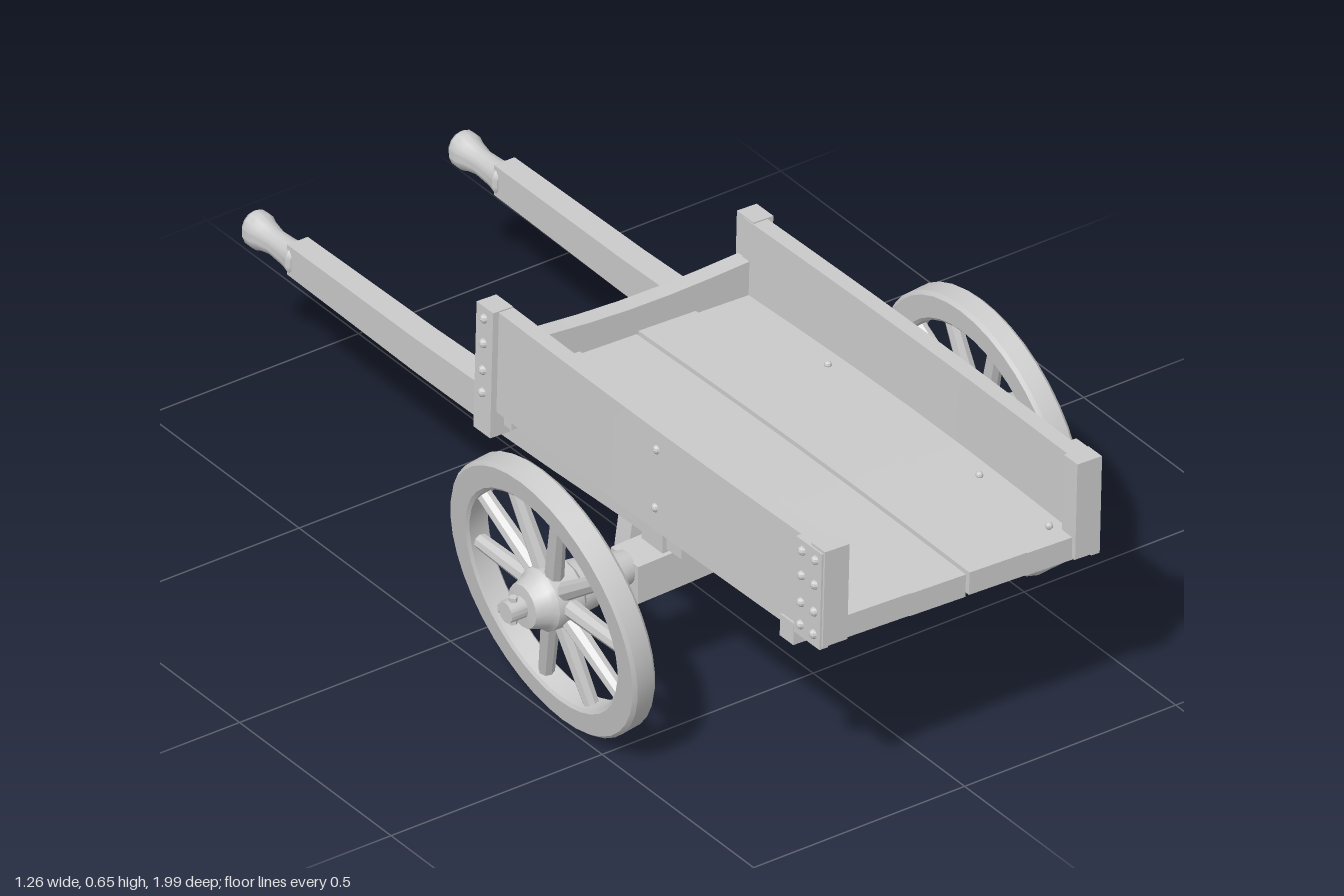
import * as THREE from 'three';
import { toCreasedNormals } from 'three/addons/utils/BufferGeometryUtils.js';

const material = new THREE.MeshStandardMaterial({ color: 0xcccccc });

function add(parent, name, geometry, x = 0, y = 0, z = 0) {
  const mesh = new THREE.Mesh(toCreasedNormals(geometry, 0.6), material);
  mesh.name = name;
  mesh.position.set(x, y, z);
  parent.add(mesh);
  return mesh;
}

// Box given by its limits, optionally bent by a rule on each vertex
function box(parent, name, [x0, x1], [y0, y1], [z0, z1], rule) {
  const seg = rule ? 6 : 1;
  const g = new THREE.BoxGeometry(x1 - x0, y1 - y0, z1 - z0, seg, seg, seg);
  g.translate((x0 + x1) / 2, (y0 + y1) / 2, (z0 + z1) / 2);
  if (rule) {
    const p = g.attributes.position, v = new THREE.Vector3();
    for (let i = 0; i < p.count; i++) {
      rule(v.fromBufferAttribute(p, i));
      p.setXYZ(i, v.x, v.y, v.z);
    }
  }
  return add(parent, name, g);
}

// Turned part: profile of [radius, height], running along y
function turned(profile, sides) {
  return new THREE.LatheGeometry(profile.map(([r, h]) => new THREE.Vector2(r, h)), sides);
}

function rivet(parent, x, y, z, r = 0.01) {
  add(parent, 'rivet', new THREE.SphereGeometry(r, 8, 6), x, y, z);
}

// Spoked wheel and hub; side is +1 or -1
function wheel(side, x, lean) {
  const group = new THREE.Group();
  group.name = 'wheel';
  group.position.set(x, 0.302, 0.365);

  const disc = new THREE.Group();
  disc.name = 'spokedRim';
  disc.rotation.z = lean;
  group.add(disc);
  const rim = turned([[0.238, -0.022], [0.245, -0.027], [0.293, -0.027], [0.3, -0.02],
    [0.3, 0.02], [0.293, 0.027], [0.245, 0.027], [0.238, 0.022], [0.238, -0.022]], 40);
  rim.rotateZ(Math.PI / 2);
  add(disc, 'rim', rim);
  for (let i = 0; i < 10; i++) {
    const spoke = new THREE.CylinderGeometry(0.016, 0.02, 0.21, 8);
    spoke.translate(0, 0.14, 0);
    spoke.rotateX((i + 0.5) * Math.PI / 5);
    add(disc, 'spoke', spoke);
  }

  // Hub runs from the axle arm out to the pin
  const tip = 0.632 - Math.abs(x), inner = 0.345 - Math.abs(x);
  const hub = turned([[0, inner], [0.034, inner], [0.042, inner + 0.05], [0.036, inner + 0.06],
    [0.036, -0.085], [0.052, -0.08], [0.056, -0.04], [0.066, -0.03], [0.066, 0.03], [0.056, 0.04],
    [0.046, tip - 0.04], [0.022, tip - 0.038], [0.022, tip], [0, tip]], 16);
  hub.rotateZ(-side * Math.PI / 2);
  add(group, 'hub', hub);
  add(group, 'linchpin', new THREE.CylinderGeometry(0.009, 0.009, 0.06, 6), side * (tip - 0.018), 0, 0);
  return group;
}

// Open-fronted cargo box
function cargoBox() {
  const tilt = new THREE.Group();
  tilt.name = 'cargoBox';
  tilt.position.set(0, 0.45, 0.42);
  tilt.rotation.set(-0.012, 0, -0.035);
  const body = new THREE.Group();
  body.position.set(0, -0.45, -0.42);
  tilt.add(body);

  // Floor planks with staggered front ends
  const edges = [-0.295, -0.115, 0.02, 0.16, 0.295];
  for (let i = 0; i < 4; i++) {
    const drop = (i % 2) * 0.006;
    box(body, 'floorPlank', [edges[i] + 0.002, edges[i + 1] - 0.002], [0.415 - drop, 0.465 - drop],
      [-0.13, 0.985 - drop], (v) => { v.y += 0.008 * Math.sin((v.z + 0.13) * 2.8); });
  }

  for (const s of [-1, 1]) {
    const span = (a, b) => (s > 0 ? [a, b] : [-b, -a]);
    box(body, 'sideBoard', span(0.283, 0.318), [0.4, 0.622], [-0.13, 0.97],
      (v) => { v.x += s * 0.006 * Math.sin((v.z + 0.13) * 2.8); });
    // Front corner post and its outer strap
    box(body, 'frontPost', span(0.27, 0.328), [0.415, 0.628], [0.945, 0.99]);
    box(body, 'frontStrap', span(0.312, 0.332), [0.408, 0.622], [0.9, 0.985]);
    // Rear corner post, reaching down past the floor
    box(body, 'rearPost', span(0.285, 0.332), [0.345, 0.625], [-0.155, -0.1]);
    for (const y of [0.435, 0.485, 0.545, 0.6]) {
      rivet(body, s * 0.332, y, 0.922);
      rivet(body, s * 0.332, y, 0.965);
      rivet(body, s * 0.332, y, -0.128);
    }
    for (const y of [0.45, 0.58]) rivet(body, s * 0.322, y, 0.43);
    for (const z of [0.2, 0.7, 0.93]) rivet(body, s * 0.25, 0.468, z, 0.008);
    for (const y of [0.46, 0.5]) rivet(body, s * 0.25, y, -0.148, 0.008);
  }

  // Low rear board with a sagging top edge
  box(body, 'rearBoard', [-0.29, 0.29], [0.405, 0.535], [-0.147, -0.108],
    (v) => { if (v.y > 0.5) v.y -= 0.015 * Math.cos(v.x * 5.4); });

  // Cross bearers under the floor
  box(body, 'frontBearer', [-0.325, 0.34], [0.37, 0.418], [0.845, 0.89]);
  box(body, 'rearBearer', [-0.3, 0.3], [0.365, 0.418], [-0.12, -0.075]);
  box(body, 'legBearer', [-0.27, 0.27], [0.37, 0.418], [0.05, 0.1]);
  return tilt;
}

// Pull shaft with a turned grip, sloping gently down to the rear
function shaft(x) {
  const group = new THREE.Group();
  group.name = 'shaft';
  const slope = (z) => 0.365 + 0.028 * z;
  box(group, 'shaftBeam', [x - 0.03, x + 0.03], [-0.042, 0.042], [-0.86, 0.45], (v) => {
    const k = 1 - 0.22 * THREE.MathUtils.clamp(-v.z, 0, 1);
    v.y = v.y * k + slope(v.z);
    v.x = x + (v.x - x) * k + 0.005 * Math.sin(v.z * 5);
  });
  const grip = turned([[0, 0], [0.028, 0], [0.036, 0.008], [0.031, 0.03], [0.028, 0.08],
    [0.034, 0.11], [0.04, 0.125], [0.04, 0.145], [0.032, 0.155], [0, 0.155]], 14);
  grip.rotateX(-Math.PI / 2);
  grip.scale(0.85, 1, 1);
  add(group, 'grip', grip, x, slope(-0.9), -0.845);
  return group;
}

export function createModel() {
  const cart = new THREE.Group();
  cart.name = 'handCart';
  cart.add(cargoBox());
  cart.add(wheel(-1, -0.52, 0.17), wheel(1, 0.5, 0.095));
  cart.add(shaft(-0.25), shaft(0.24));

  // Axle beam, higher at one end, with a block joining it to the floor
  box(cart, 'axleBeam', [-0.35, 0.36], [-0.042, 0.042], [0.32, 0.41],
    (v) => { v.y += 0.305 + 0.06 * v.x - 0.008 * Math.cos(v.x * 4); });
  for (const s of [-1, 1]) {
    box(cart, 'axleBlock', [s * 0.25 - 0.035, s * 0.25 + 0.035], [0.31, 0.425], [0.33, 0.4]);
  }

  // Prop legs, the right-hand one bowed
  box(cart, 'bowedLeg', [-0.023, 0.023], [0, 0.4], [0.055, 0.1],
    (v) => { v.x += -0.138 + 0.33 * v.y * v.y + 0.04 * v.y; });
  box(cart, 'straightLeg', [-0.026, 0.026], [0, 0.4], [0.055, 0.1],
    (v) => { v.x += 0.105 + 0.02 * v.y; });
  return cart;
}
